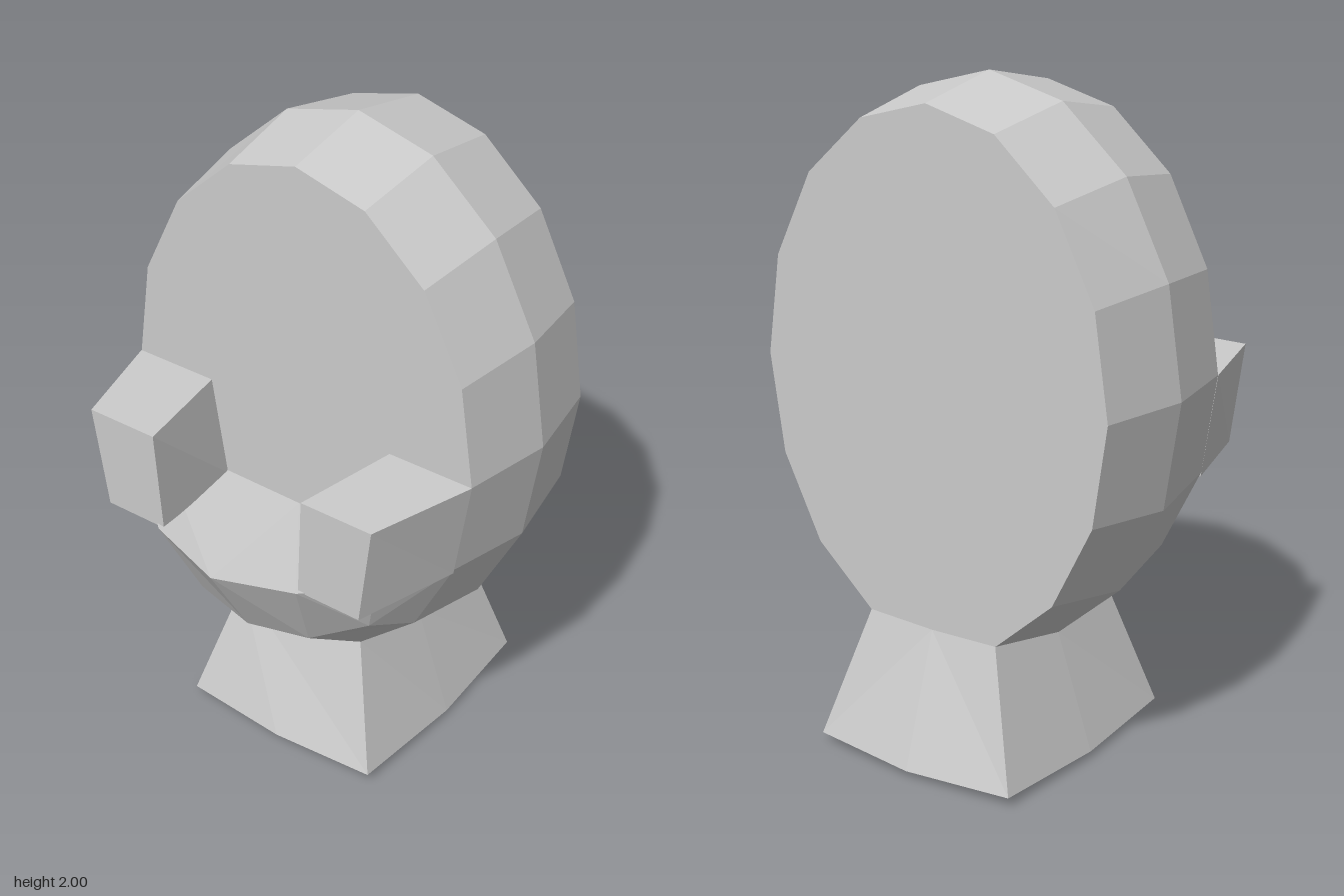
import * as THREE from 'three';

const material = new THREE.MeshStandardMaterial({ color: 0xcccccc, flatShading: true, side: THREE.DoubleSide });

// Mesh from polygons, each an outward-facing loop of [x, y, z] corners, cut as a fan
function polyMesh(name, polygons) {
  const pos = [];
  for (const p of polygons) {
    for (let i = 1; i < p.length - 1; i++) pos.push(...p[0], ...p[i], ...p[i + 1]);
  }
  const geo = new THREE.BufferGeometry();
  geo.setAttribute('position', new THREE.Float32BufferAttribute(pos, 3));
  geo.computeVertexNormals();
  const mesh = new THREE.Mesh(geo, material);
  mesh.name = name;
  return mesh;
}

// Closed solid through loops ordered back to front, counter-clockwise seen from the front
function loft(name, loops) {
  const polys = [[...loops[0]].reverse(), loops[loops.length - 1]];
  for (let s = 0; s < loops.length - 1; s++) {
    const a = loops[s], b = loops[s + 1], n = a.length;
    for (let i = 0; i < n; i++) {
      const j = (i + 1) % n;
      polys.push([a[i], a[j], b[j], b[i]]);
    }
  }
  return polyMesh(name, polys);
}

// Mirror a loop across x = 0, keeping it facing outward
const mirror = (loop) => loop.map(([x, y, z]) => [-x, y, z]).reverse();

// 16-sided egg-shaped ring
const SIDES = 16, CENTRE_Y = 1.155;
function ring(z, halfWidth, halfHeight) {
  return Array.from({ length: SIDES }, (_, i) => {
    const a = (i / SIDES) * Math.PI * 2;
    return [halfWidth * Math.cos(a), CENTRE_Y + halfHeight * Math.sin(a), z];
  });
}

export function createModel() {
  const chair = new THREE.Group();
  chair.name = 'eggChair';

  // Upright shell with flat back and flat backrest
  const front = ring(0.17, 0.593, 0.788);
  chair.add(loft('shell', [ring(-0.4, 0.595, 0.788), ring(-0.113, 0.645, 0.845), front]));

  // Rounded bowl under the seat, one half mirrored
  const [r3, r2, r1, r0] = [15, 14, 13, 12].map((i) => front[i]);
  const corner = [0.37, 0.667, 0.328], edge = [0.2, 0.577, 0.39], middle = [0, 0.557, 0.424];
  const s0 = [0, 0.825, 0.58], s1 = [0.25, 0.845, 0.512], s2 = [0.42, 0.845, 0.37];
  const half = [
    [r3, s2, corner, r2],
    [r2, corner, edge, r1],
    [r1, edge, middle, r0],
    [corner, s2, s1, edge],
    [edge, s1, s0, middle],
    [[0, 0.845, 0.17], s0, s1, s2, r3],
  ];
  chair.add(polyMesh('seatBowl', [...half, ...half.map(mirror)]));

  // Armrests, tapering forward
  const armBack = [[0.27, 0.84, 0.17], [0.546, 0.84, 0.17], [0.594, 1.155, 0.17], [0.32, 1.155, 0.17]];
  const armFront = [[0.245, 0.84, 0.495], [0.453, 0.84, 0.495], [0.495, 1.155, 0.5], [0.262, 1.155, 0.5]];
  chair.add(loft('leftArmrest', [armBack, armFront]));
  chair.add(loft('rightArmrest', [mirror(armBack), mirror(armFront)]));

  // Flared pedestal with a slightly domed underside
  const section = (top, topY, topZ, foot, footY, footZ, midY, midZ) => [
    [-top, topY, topZ], [-foot, footY, footZ], [0, midY, midZ],
    [foot, footY, footZ], [top, topY, topZ], [0, 0.42, topZ],
  ];
  chair.add(loft('pedestal', [
    section(0.227, 0.427, -0.4, 0.345, 0.03, -0.5, 0.02, -0.53),
    section(0.245, 0.375, -0.113, 0.365, 0.02, -0.113, 0, -0.113),
    section(0.227, 0.427, 0.17, 0.34, 0.03, 0.283, 0.02, 0.3),
  ]));

  // The chair stands turned by an eighth
  chair.rotation.y = -Math.PI / 4;
  const model = new THREE.Group();
  model.name = 'model';
  model.add(chair);
  return model;
}
